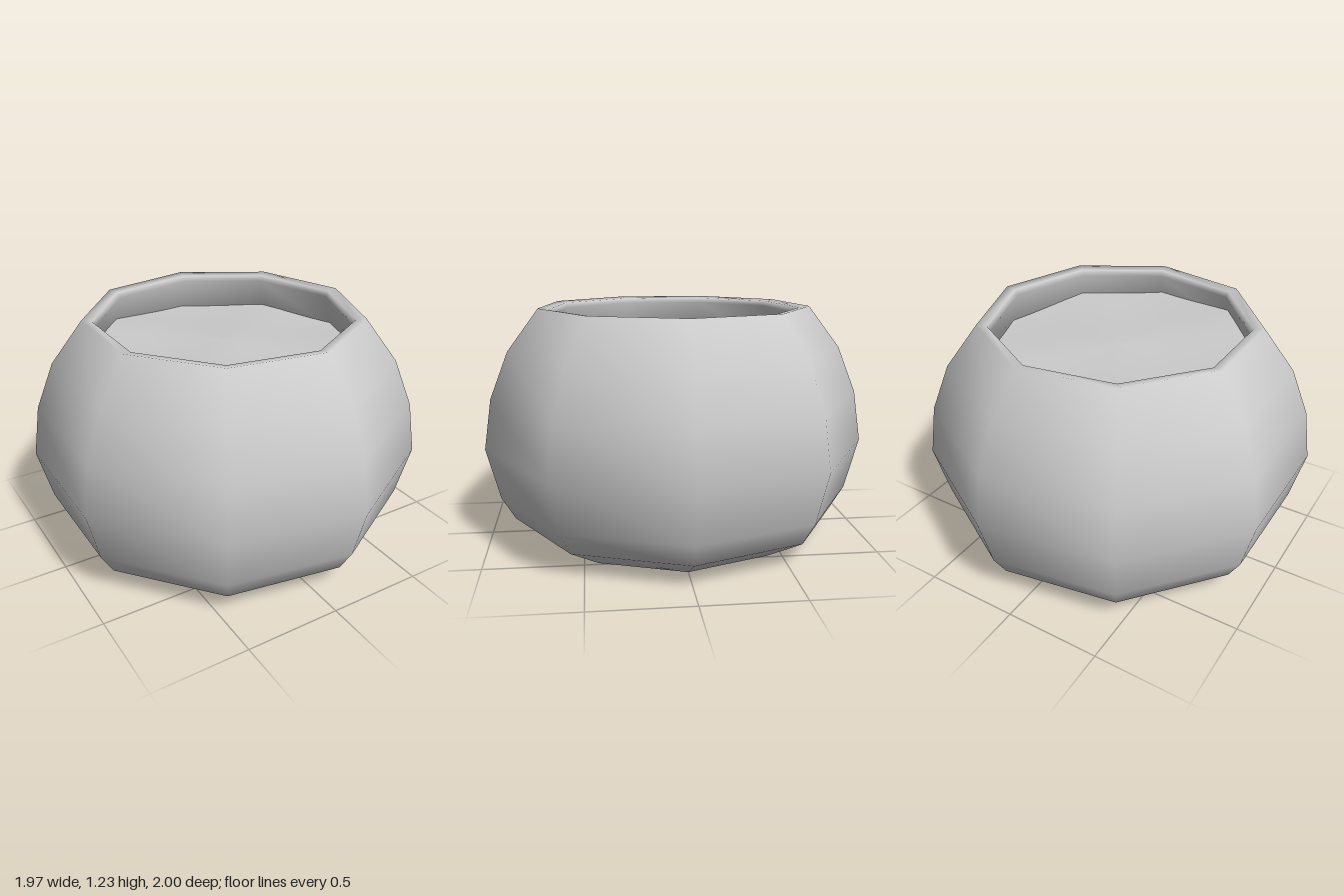
import * as THREE from 'three';

// Turned part with one corner pointing along +x
function turned(name, profile, sides, material) {
  const points = profile.map(([r, y]) => new THREE.Vector2(r, y));
  const mesh = new THREE.Mesh(new THREE.LatheGeometry(points, sides, Math.PI / 2), material);
  mesh.name = name;
  mesh.position.x = -0.03; // centres the odd-sided outline
  return mesh;
}

export function createModel() {
  const group = new THREE.Group();
  group.name = 'bowl';
  const grey = new THREE.MeshStandardMaterial({ color: 0xcccccc, side: THREE.DoubleSide });

  // Rounded nine-sided shell: outside upwards, over the rim, down the steep inside
  group.add(turned('bowlShell', [
    [0, 0], [0.67, 0], [0.875, 0.12], [0.945, 0.24], [1.015, 0.51],
    [0.975, 0.775], [0.88, 1.015], [0.717, 1.23],
    [0.665, 1.222], [0.648, 1.195], [0.7, 1.0], [0.9, 0.77], [0.97, 0.51],
    [0.9, 0.26], [0.83, 0.15], [0.65, 0.04], [0, 0.04],
  ], 9, grey));

  // Uneven, slightly tilted surface of the contents, reaching into the wall
  const fill = turned('contents',
    [[0.735, 0], [0.6, 0], [0.4, 0], [0.2, 0], [0, 0]], 36, grey);
  const pos = fill.geometry.attributes.position;
  for (let i = 0; i < pos.count; i++) {
    const x = pos.getX(i), z = pos.getZ(i);
    pos.setY(i, 1.07 + 0.04 * (z - x) + 0.01 * Math.sin(6 * x + 1) * Math.cos(6 * z));
  }
  fill.geometry.computeVertexNormals();
  group.add(fill);
  return group;
}
